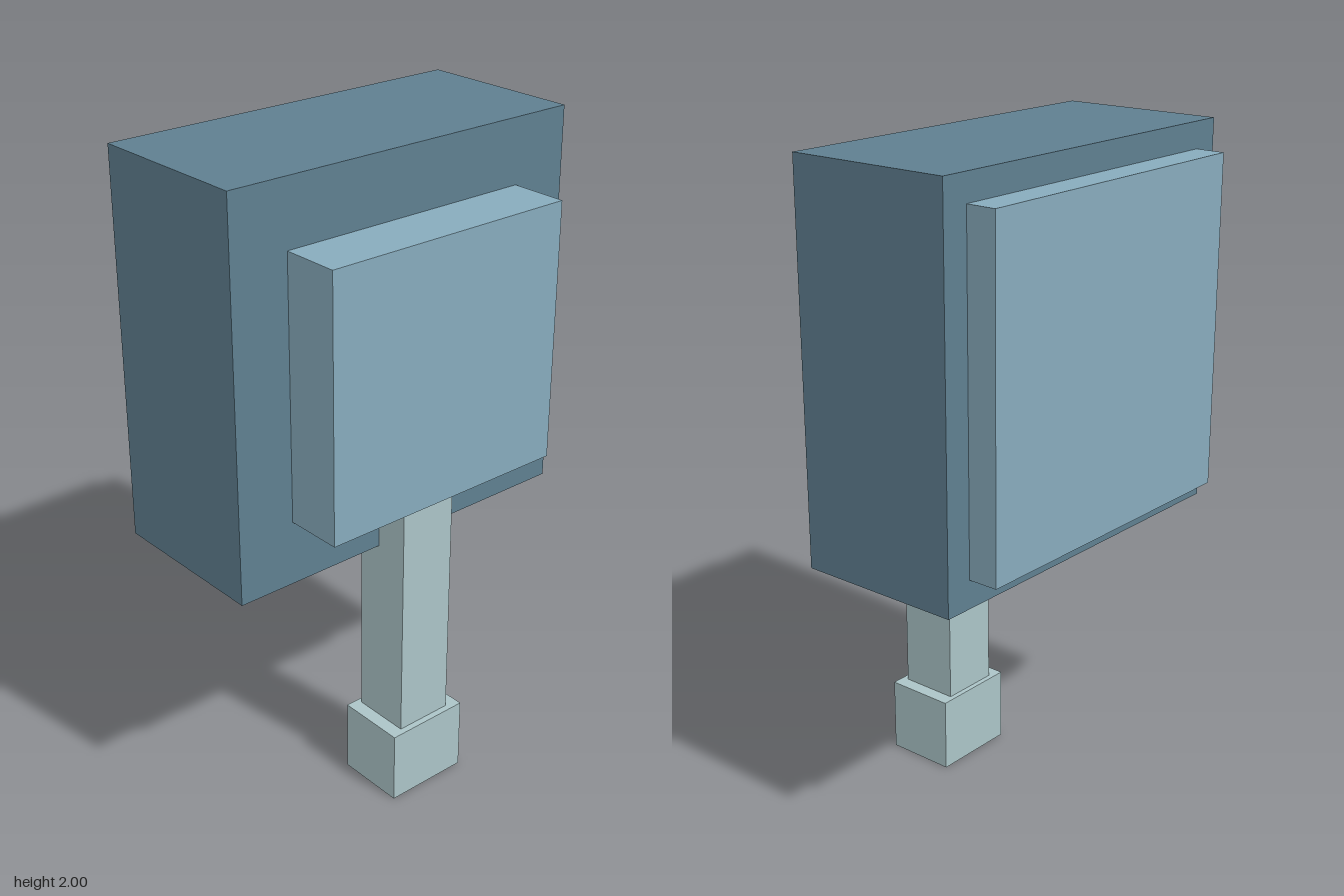
import * as THREE from 'three';

export function createModel() {
  const model = new THREE.Group();
  const material = (name, color) => {
    const m = new THREE.MeshStandardMaterial({ color });
    m.name = name;
    return m;
  };
  const slate = material('slate blue', 0x5f7f90);
  const sky = material('pale blue', 0x87abbc);
  const mist = material('grey green', 0xabc4c7);

  // Box given by its lower and upper corners
  const block = (name, mat, [x0, y0, z0], [x1, y1, z1]) => {
    const mesh = new THREE.Mesh(new THREE.BoxGeometry(x1 - x0, y1 - y0, z1 - z0), mat);
    mesh.position.set((x0 + x1) / 2, (y0 + y1) / 2, (z0 + z1) / 2);
    mesh.name = name;
    model.add(mesh);
  };

  // Main housing with a raised panel on the front and back
  block('head', slate, [-0.59, 0.825, -0.303], [0.59, 2, 0.217]);
  block('frontPanel', sky, [-0.409, 1.02, 0.217], [0.407, 1.805, 0.395]);
  block('backPanel', sky, [-0.506, 0.91, -0.395], [0.504, 1.92, -0.303]);

  // Square handle and its end block
  block('handle', mist, [-0.094, 0.23, 0.141], [0.092, 1.02, 0.324]);
  block('handleEnd', mist, [-0.137, 0, 0.125], [0.135, 0.23, 0.344]);

  return model;
}
